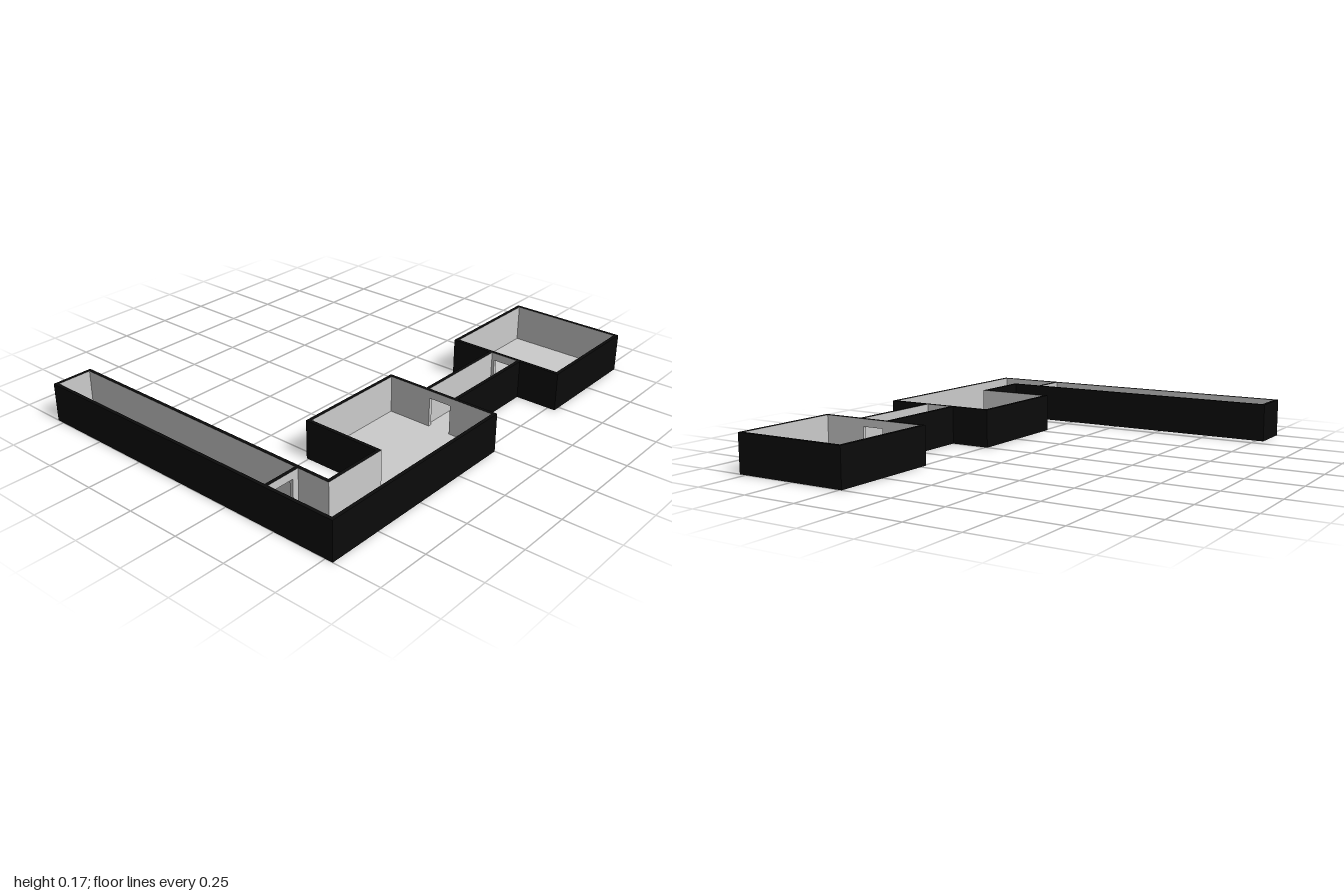
import * as THREE from 'three';

const HEIGHT = 0.175, DOOR = 0.14, FLOOR = 0.007;
const dark = new THREE.MeshStandardMaterial({ color: 0x0b0b0b, side: THREE.DoubleSide });
const grey = new THREE.MeshStandardMaterial({ color: 0xcccccc, side: THREE.DoubleSide });

const rect = (x0, z0, x1, z1) => [[x0, z0], [x1, z0], [x1, z1], [x0, z1]];

// Plan loops as [x, z]
const outline = [
  [0.24, -1], [0.785, -1], [0.785, -0.465], [0.592, -0.465], [0.592, 0], [0.785, 0],
  [0.785, 1], [-0.785, 1], [-0.785, 0.81], [0.598, 0.81], [0.598, 0.54], [0.24, 0.54],
  [0.24, 0], [0.431, 0], [0.431, -0.465], [0.24, -0.465],
];
const spaces = {
  backRoom: rect(0.256, -0.984, 0.769, -0.481),
  linkCorridor: rect(0.447, -0.465, 0.576, 0),
  middleRoom: [
    [0.256, 0.016], [0.769, 0.016], [0.769, 0.984], [0.463, 0.984],
    [0.463, 0.826], [0.614, 0.826], [0.614, 0.524], [0.256, 0.524],
  ],
  longCorridor: rect(-0.769, 0.826, 0.447, 0.984),
};
const doors = [
  rect(0.46, -0.481, 0.565, -0.465),
  rect(0.46, 0, 0.565, 0.016),
  rect(0.447, 0.855, 0.463, 0.955),
];
// All spaces joined through the doorways
const interior = [
  [0.256, -0.984], [0.769, -0.984], [0.769, -0.481], [0.565, -0.481], [0.565, -0.465],
  [0.576, -0.465], [0.576, 0], [0.565, 0], [0.565, 0.016], [0.769, 0.016], [0.769, 0.984],
  [0.463, 0.984], [0.463, 0.955], [0.447, 0.955], [0.447, 0.984], [-0.769, 0.984],
  [-0.769, 0.826], [0.447, 0.826], [0.447, 0.855], [0.463, 0.855], [0.463, 0.826],
  [0.614, 0.826], [0.614, 0.524], [0.256, 0.524], [0.256, 0.016], [0.46, 0.016],
  [0.46, 0], [0.447, 0], [0.447, -0.465], [0.46, -0.465], [0.46, -0.481], [0.256, -0.481],
];

// Vertical wall faces along a closed loop; outward faces away from the loop's middle
function band(loop, y0, y1, outward) {
  const pos = [];
  loop.forEach((p, i) => {
    const q = loop[(i + 1) % loop.length];
    const [a, b] = outward ? [q, p] : [p, q];
    pos.push(a[0], y0, a[1], b[0], y0, b[1], b[0], y1, b[1]);
    pos.push(a[0], y0, a[1], b[0], y1, b[1], a[0], y1, a[1]);
  });
  const g = new THREE.BufferGeometry();
  g.setAttribute('position', new THREE.Float32BufferAttribute(pos, 3));
  g.computeVertexNormals();
  return g;
}

// Horizontal face bounded by a loop, with optional holes
function sheet(loop, holes, y, up) {
  const s = up ? -1 : 1;
  const points = (l) => l.map(([x, z]) => new THREE.Vector2(x, s * z));
  const shape = new THREE.Shape(points(loop));
  shape.holes = holes.map((h) => new THREE.Path(points(h)));
  return new THREE.ShapeGeometry(shape).rotateX((s * Math.PI) / 2).translate(0, y, 0);
}

export function createModel() {
  const model = new THREE.Group();
  model.name = 'floorPlan';
  const add = (name, geometry, material) => {
    const mesh = new THREE.Mesh(geometry, material);
    mesh.name = name;
    model.add(mesh);
  };

  // Dark outer shell: outside faces, top rim and underside of the walls
  add('outerWalls', band(outline, 0, HEIGHT, true), dark);
  add('wallRim', sheet(outline, Object.values(spaces), HEIGHT, true), dark);
  add('wallBase', sheet(outline, [interior], 0, false), dark);

  // Grey inside faces: one run up to door height, then each space above it
  add('innerWalls', band(interior, 0, DOOR, false), grey);
  for (const [name, loop] of Object.entries(spaces)) {
    add(name + 'UpperWalls', band(loop, DOOR, HEIGHT, false), grey);
  }

  // Undersides of the lintels over the doorways
  doors.forEach((d, i) => add('lintel' + (i + 1), sheet(d, [], DOOR, false), grey));

  // Floor
  add('floor', sheet(interior, [], FLOOR, true), grey);

  return model;
}
